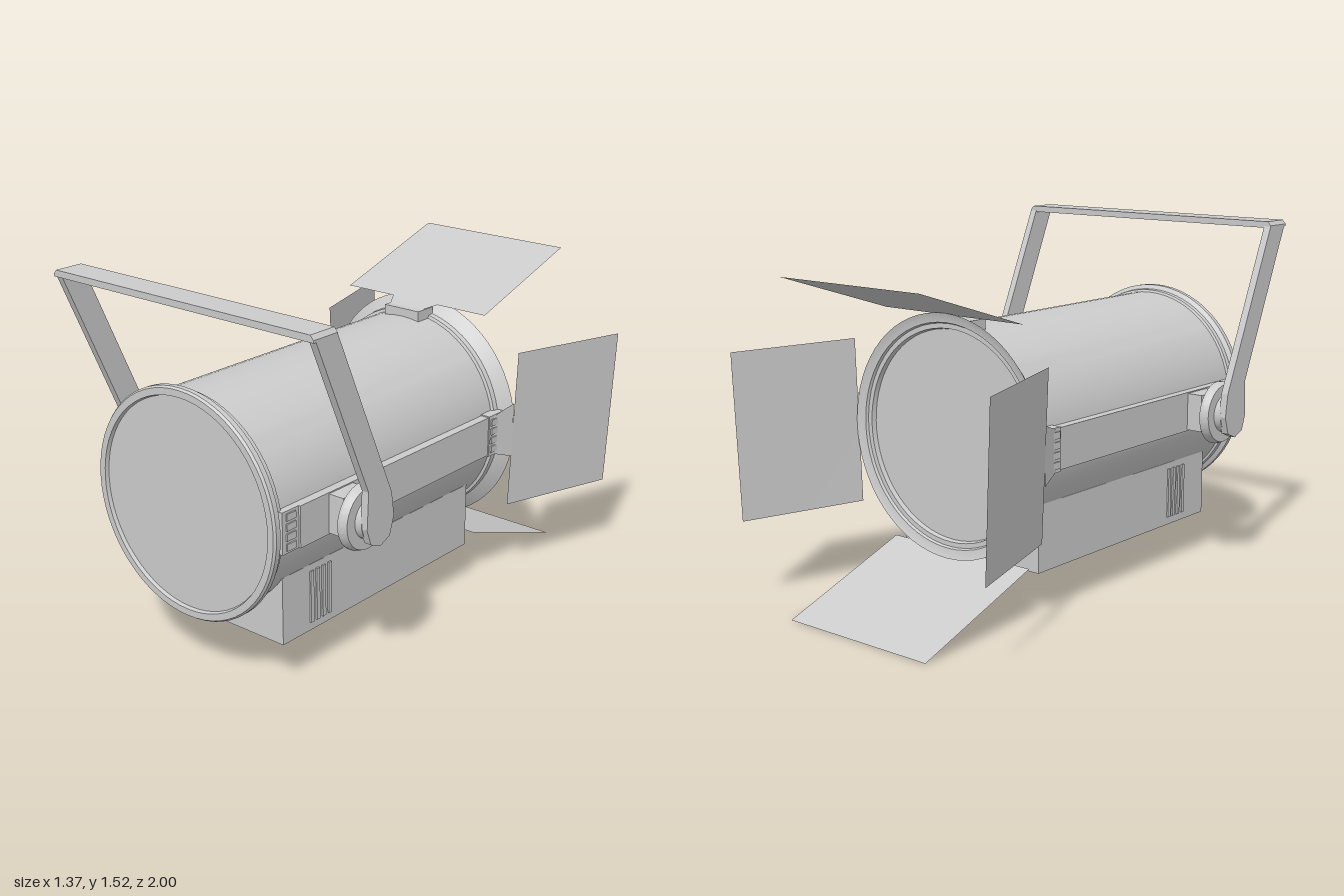
import * as THREE from 'three';
import { toCreasedNormals } from 'three/addons/utils/BufferGeometryUtils.js';

const AXIS_Y = 0.71; // height of the lamp's long axis
const grey = new THREE.MeshStandardMaterial({ color: 0xcccccc });
const sheet = new THREE.MeshStandardMaterial({ color: 0xcccccc, side: THREE.DoubleSide });

function add(parent, name, geometry, material = grey) {
  const mesh = new THREE.Mesh(geometry, material);
  mesh.name = name;
  parent.add(mesh);
  return mesh;
}

// Box given by its lower and upper limits on each axis
function block(parent, name, [x0, x1], [y0, y1], [z0, z1]) {
  const geo = new THREE.BoxGeometry(x1 - x0, y1 - y0, z1 - z0);
  geo.translate((x0 + x1) / 2, (y0 + y1) / 2, (z0 + z1) / 2);
  return add(parent, name, geo);
}

// Revolved profile of [radius, distance along axis], axis pointing up +y
function turned(profile, segments) {
  const points = profile.map(([r, d]) => new THREE.Vector2(r, d));
  return toCreasedNormals(new THREE.LatheGeometry(points, segments), 0.4);
}

// Flat four-cornered sheet
function plate(parent, name, corners) {
  const geo = new THREE.BufferGeometry();
  geo.setAttribute('position', new THREE.Float32BufferAttribute(corners.flat(), 3));
  geo.setIndex([0, 1, 2, 0, 2, 3]);
  geo.computeVertexNormals();
  return add(parent, name, geo, sheet);
}

function extruded(points, depth) {
  const shape = new THREE.Shape(points.map(([x, y]) => new THREE.Vector2(x, y)));
  return new THREE.ExtrudeGeometry(shape, { depth, bevelEnabled: false });
}

// Hinge bracket on the barrel's rim, pointing up +y from the axis
function hinge(angle, tipRadius, tipZ) {
  const group = new THREE.Group();
  group.name = 'doorHinge';
  block(group, 'hingeBracket', [-0.09, 0.09], [0.42, 0.475], [-0.43, -0.33]);
  plate(group, 'hingeTab', [
    [-0.085, 0.476, -0.36], [0.085, 0.476, -0.36],
    [0.12, tipRadius, tipZ], [-0.12, tipRadius, tipZ],
  ]);
  group.position.y = AXIS_Y;
  group.rotation.z = angle;
  return group;
}

// Everything on one side of the lamp, s = +1 for left and -1 for right
function sideParts(s) {
  const group = new THREE.Group();
  group.name = s > 0 ? 'leftSide' : 'rightSide';
  const span = (a, b) => (s > 0 ? [a, b] : [-b, -a]);

  // Rail along the barrel with slotted ends
  block(group, 'sideRail', span(0.4, 0.47), [0.625, 0.795], [-0.42, 0.86]);
  block(group, 'railEnd', span(0.4, 0.462), [0.625, 0.795], [0.86, 0.95]);
  for (let i = 0; i < 4; i++) {
    const y = 0.65 + i * 0.04;
    block(group, 'frontSlot', span(0.455, 0.468), [y - 0.014, y + 0.014], [0.88, 0.93]);
    block(group, 'rearSlot', span(0.46, 0.482), [y - 0.014, y + 0.014], [-0.42, -0.34]);
  }

  // Pivot: block, neck, clamping disc and boss
  block(group, 'pivotBlock', span(0.44, 0.54), [0.63, 0.79], [0.56, 0.7]);
  const pivot = turned([
    [0, 0.53], [0.055, 0.53], [0.055, 0.57], [0.135, 0.57], [0.135, 0.582],
    [0.125, 0.608], [0.08, 0.608], [0.08, 0.64], [0, 0.64],
  ], 32);
  pivot.rotateZ(-s * Math.PI / 2).translate(0, AXIS_Y, 0.635);
  add(group, 'pivotKnob', pivot);

  // Leaning yoke arm with a rounded foot, drawn as [z, y]
  const arm = extruded([
    [0.99, 1.497], [0.705, 0.85], [0.713, 0.7], [0.69, 0.635], [0.635, 0.612],
    [0.58, 0.635], [0.555, 0.71], [0.57, 0.81], [0.875, 1.497],
  ], 0.032);
  arm.rotateY(-Math.PI / 2).translate(s > 0 ? 0.665 : -0.633, 0, 0);
  add(group, 'yokeArm', arm);

  // Louvres on the flank of the base box
  for (let i = 0; i < 4; i++) {
    const z = 0.58 + i * 0.035;
    block(group, 'louvre', span(0.36, 0.372), [0.215, 0.435], [z - 0.009, z + 0.009]);
  }

  // Side door and its hinge
  plate(group, 'sideDoor', [
    [s * 0.52, 1.058, -0.462], [s * 0.685, 1.05, -0.99],
    [s * 0.655, 0.353, -0.985], [s * 0.49, 0.36, -0.462],
  ]);
  group.add(hinge(-s * Math.PI / 2, 0.505, -0.463));
  return group;
}

export function createModel() {
  const model = new THREE.Group();
  model.name = 'stageLight';

  // Barrel with recessed lens, flared rear rim and front lip
  const barrel = turned([
    [0, -0.43], [0.435, -0.43], [0.44, -0.45], [0.46, -0.45], [0.465, -0.462],
    [0.485, -0.465], [0.505, -0.473], [0.455, -0.428], [0.452, -0.405], [0.44, -0.4],
    [0.44, 0.93], [0.45, 0.935], [0.452, 0.955], [0.47, 0.968], [0.47, 0.99],
    [0.463, 1], [0.435, 1], [0.43, 0.985], [0, 0.985],
  ], 64);
  barrel.rotateX(Math.PI / 2).translate(0, AXIS_Y, 0);
  add(model, 'barrel', barrel);

  // Base box under the barrel
  block(model, 'baseBox', [-0.365, 0.365], [0.18, 0.463], [-0.33, 0.85]);

  // Rail, pivot, yoke arm and door on both sides
  for (const s of [1, -1]) model.add(sideParts(s));

  // Yoke crossbar with chamfered ends
  const bar = extruded([
    [-0.665, 1.49], [0.665, 1.49], [0.665, 1.5], [0.65, 1.517], [-0.65, 1.517], [-0.665, 1.5],
  ], 0.125);
  bar.translate(0, 0, 0.875);
  add(model, 'yokeCrossbar', bar);

  // Top and bottom doors
  plate(model, 'topDoor', [
    [-0.367, 1.2, -0.425], [0.367, 1.2, -0.425], [0.367, 1.38, -1], [-0.367, 1.38, -1],
  ]);
  plate(model, 'bottomDoor', [
    [-0.367, 0.215, -0.39], [0.367, 0.215, -0.39], [0.367, 0, -0.995], [-0.367, 0, -0.995],
  ]);
  model.add(hinge(0, 0.49, -0.425), hinge(Math.PI, 0.495, -0.39));

  return model;
}
